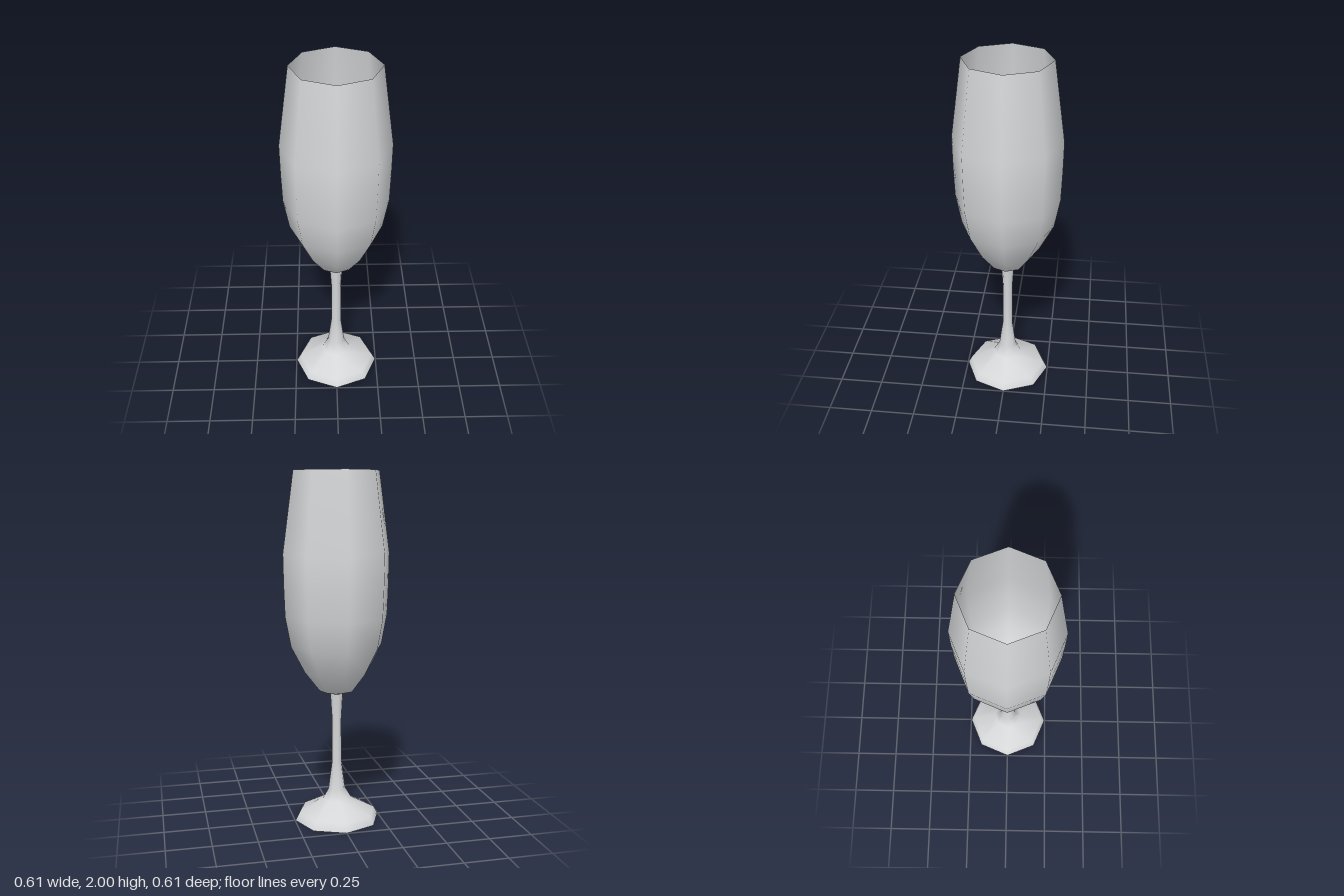
import * as THREE from 'three';

const SIDES = 8;

export function createModel() {
  const group = new THREE.Group();
  group.name = 'fluteGlass';

  const glass = new THREE.MeshStandardMaterial({ color: 0xd4d6d8, side: THREE.DoubleSide });
  glass.name = 'paleGlass';

  // Turns a [radius, height] profile, listed bottom to top, into a smooth eight-sided shell
  const turn = (name, profile) => {
    const points = profile.map(([r, y]) => new THREE.Vector2(r, y));
    const mesh = new THREE.Mesh(new THREE.LatheGeometry(points, SIDES), glass);
    mesh.name = name;
    group.add(mesh);
  };

  // Hollow foot flowing into the slender stem
  turn('footAndStem', [
    [0.248, 0], [0.225, 0.045], [0.085, 0.12], [0.05, 0.18],
    [0.029, 0.34], [0.028, 0.6], [0.038, 0.752],
  ]);

  // Thin-walled open bowl
  turn('bowl', [
    [0.038, 0.752], [0.1, 0.77], [0.185, 0.88], [0.263, 1.03],
    [0.295, 1.2], [0.301, 1.37], [0.304, 1.55], [0.243, 2],
  ]);

  // Flat disc closing the bottom of the bowl
  const floor = new THREE.Mesh(new THREE.CircleGeometry(0.038, SIDES), glass);
  floor.name = 'bowlFloor';
  floor.rotation.x = -Math.PI / 2;
  floor.position.y = 0.752;
  group.add(floor);

  return group;
}
